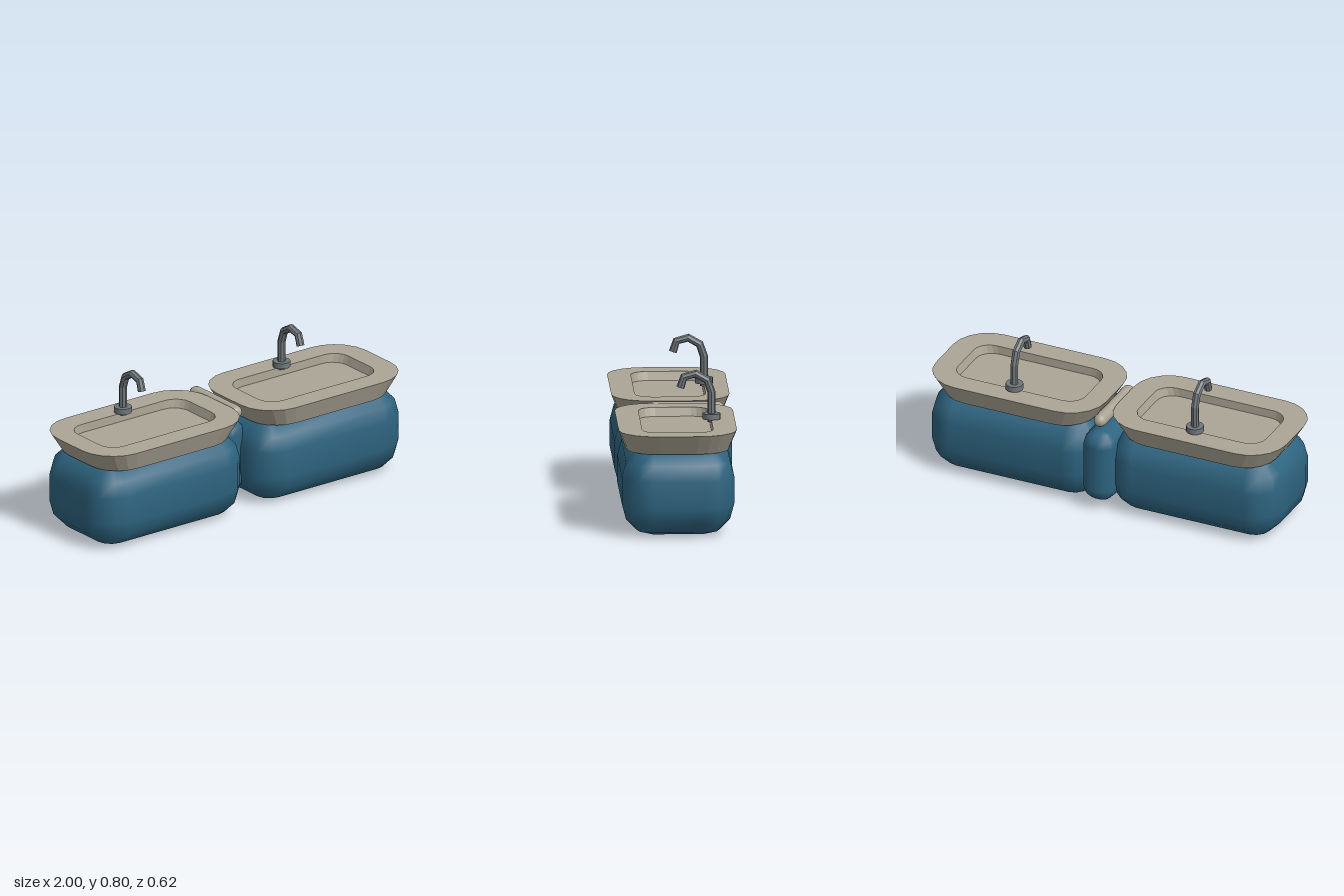
import * as THREE from 'three';
import { mergeVertices } from 'three/addons/utils/BufferGeometryUtils.js';

const BLUE = 0x2e6480, STONE = 0xaba595, METAL = 0x70777b;

function mesh(name, geometry, color, flatShading = false) {
  const m = new THREE.Mesh(geometry, new THREE.MeshStandardMaterial({ color, flatShading }));
  m.name = name;
  return m;
}

// Skin stacked rounded rectangles, each [y, halfWidth, halfDepth, cornerRadius]
function loft(sections, steps) {
  const pos = [], idx = [], n = 4 * (steps + 1);
  for (const [y, hw, hd, r] of sections) {
    for (let c = 0; c < 4; c++) {
      const sx = c === 0 || c === 3 ? 1 : -1, sz = c < 2 ? 1 : -1;
      for (let k = 0; k <= steps; k++) {
        const a = (c + k / steps) * Math.PI / 2;
        pos.push(sx * (hw - r) + r * Math.cos(a), y, sz * (hd - r) + r * Math.sin(a));
      }
    }
  }
  for (let i = 0; i < sections.length - 1; i++) {
    for (let j = 0; j < n; j++) {
      const p = i * n + j, q = i * n + (j + 1) % n;
      idx.push(p, p + n, q, q, p + n, q + n);
    }
  }
  let g = new THREE.BufferGeometry();
  g.setAttribute('position', new THREE.Float32BufferAttribute(pos, 3));
  g.setIndex(idx);
  g = mergeVertices(g, 1e-5);
  g.computeVertexNormals();
  return g;
}

// Box with every edge rounded in 30 degree steps
function softBox(y0, y1, hw, hd, r) {
  const sections = [[y0, 0, 0, 0]];
  for (const [y, dir] of [[y0 + r, -1], [y1 - r, 1]]) {
    for (let k = 0; k <= 3; k++) {
      const a = (dir < 0 ? 3 - k : k) * Math.PI / 6;
      const inset = r * (1 - Math.cos(a));
      sections.push([y + dir * r * Math.sin(a), hw - inset, hd - inset, r - inset]);
    }
  }
  sections.push([y1, 0, 0, 0]);
  return loft(sections, 3);
}

function createFaucet() {
  const faucet = new THREE.Group();
  faucet.name = 'faucet';

  const collar = mesh('faucetCollar', new THREE.CylinderGeometry(0.046, 0.046, 0.03, 16), METAL);
  collar.position.set(0, 0.56, -0.184);
  faucet.add(collar);

  // Angular gooseneck: one tube ring on each path point
  const points = [[0.53, -0.184], [0.685, -0.184], [0.748, -0.162], [0.782, -0.103], [0.765, -0.042], [0.71, -0.024]]
    .map(([y, z]) => new THREE.Vector3(0, y, z));
  const path = new THREE.CatmullRomCurve3(points);
  path.getPointAt = path.getPoint;
  path.getTangentAt = path.getTangent;
  faucet.add(mesh('faucetSpout', new THREE.TubeGeometry(path, points.length - 1, 0.021, 8), METAL, true));

  const tip = mesh('spoutEnd', new THREE.CircleGeometry(0.021, 8), METAL);
  tip.position.copy(points[5]);
  tip.quaternion.setFromUnitVectors(new THREE.Vector3(0, 0, 1), path.getTangent(1));
  faucet.add(tip);
  return faucet;
}

function createSinkUnit(name) {
  const unit = new THREE.Group();
  unit.name = name;

  const cabinet = mesh('cabinet', softBox(0, 0.46, 0.48, 0.29, 0.16), BLUE);
  unit.add(cabinet);

  // Flared slab with a shallow recessed basin
  const basin = mesh('basin', loft([
    [0.435, 0, 0, 0],
    [0.435, 0.42, 0.265, 0.17],
    [0.54, 0.485, 0.305, 0.2],
    [0.54, 0.364, 0.183, 0.09],
    [0.495, 0.35, 0.181, 0.09],
    [0.495, 0, 0, 0],
  ], 5), STONE, true);
  unit.add(basin, createFaucet());
  return unit;
}

export function createModel() {
  const model = new THREE.Group();
  model.name = 'doubleSink';

  for (const side of [-1, 1]) {
    const unit = createSinkUnit(side > 0 ? 'leftSink' : 'rightSink');
    unit.position.x = side * 0.515;
    model.add(unit);
  }

  // Block joining the two cabinets
  const connector = mesh('connector', softBox(0.05, 0.445, 0.09, 0.205, 0.075), BLUE);
  connector.position.z = -0.105;
  model.add(connector);

  // Rounded bar lying between the basins
  const bar = mesh('dividerBar', new THREE.CapsuleGeometry(0.035, 0.33, 4, 12), STONE);
  bar.rotation.x = Math.PI / 2;
  bar.position.set(0, 0.507, -0.07);
  model.add(bar);

  return model;
}
